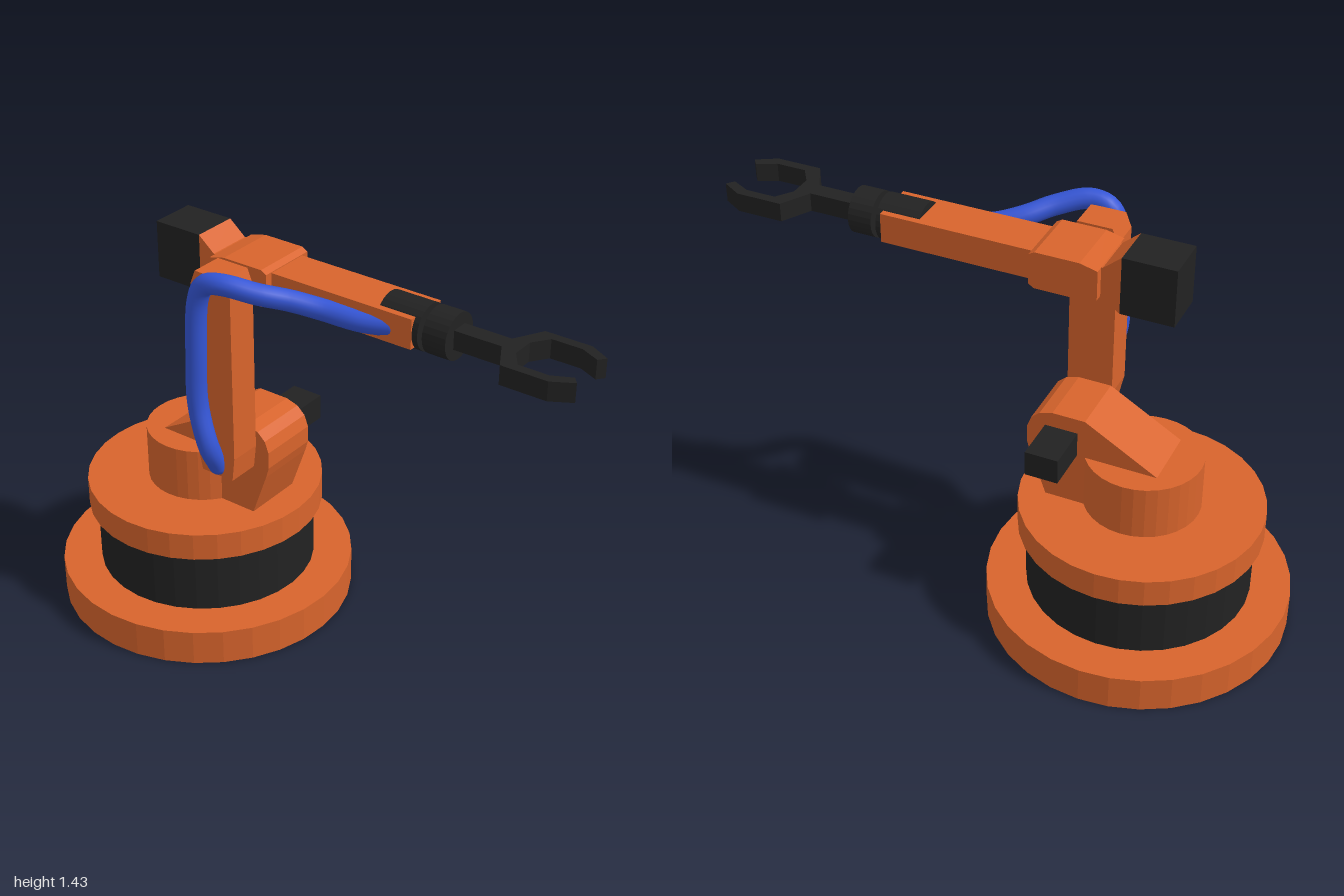
import * as THREE from 'three';

export function createModel() {
  const model = new THREE.Group();
  const orange = new THREE.MeshStandardMaterial({ color: 0xd8642c });
  orange.name = 'orange paint';
  const black = new THREE.MeshStandardMaterial({ color: 0x222222 });
  black.name = 'black plastic';
  const blue = new THREE.MeshStandardMaterial({ color: 0x3556d6 });
  blue.name = 'blue hose';

  function add(name, geometry, material, x = 0, y = 0, z = 0) {
    const mesh = new THREE.Mesh(geometry, material);
    mesh.name = name;
    mesh.position.set(x, y, z);
    model.add(mesh);
    return mesh;
  }
  // Faceted normals
  function flat(geometry) {
    const g = geometry.index ? geometry.toNonIndexed() : geometry;
    g.computeVertexNormals();
    return g;
  }
  // Box from its limits
  function box(name, material, x0, x1, y0, y1, z0, z1) {
    add(name, new THREE.BoxGeometry(x1 - x0, y1 - y0, z1 - z0), material,
      (x0 + x1) / 2, (y0 + y1) / 2, (z0 + z1) / 2);
  }
  // Outline in x and y, extruded from z0 to z1
  function plate(points, z0, z1) {
    const shape = new THREE.Shape(points.map(([x, y]) => new THREE.Vector2(x, y)));
    const g = new THREE.ExtrudeGeometry(shape, { depth: z1 - z0, bevelEnabled: false });
    return g.translate(0, 0, z0);
  }
  // Upright drum of the turntable
  function drum(name, material, radius, y0, y1) {
    add(name, flat(new THREE.CylinderGeometry(radius, radius, y1 - y0, 32)), material,
      -0.475, (y0 + y1) / 2, 0);
  }
  // Cylinder lying along x on the forearm axis
  function wristRing(name, radius, x0, x1) {
    const g = new THREE.CylinderGeometry(radius, radius, x1 - x0, 24).rotateZ(Math.PI / 2);
    add(name, flat(g), black, (x0 + x1) / 2, 1.323, 0);
  }

  // Turntable
  drum('basePlate', orange, 0.525, 0, 0.13);
  drum('baseDrum', black, 0.387, 0.13, 0.36);
  drum('turntable', orange, 0.417, 0.36, 0.46);
  drum('hub', orange, 0.2, 0.46, 0.655);

  // Shoulder with rounded nose, and its motor
  add('shoulder', plate([
    [-0.56, 0.655], [-0.56, 0.45], [-0.173, 0.45], [-0.112, 0.62], [-0.1, 0.66],
    [-0.1, 0.72], [-0.115, 0.76], [-0.145, 0.787], [-0.19, 0.8], [-0.305, 0.8],
  ], -0.11, 0.11), orange);
  box('shoulderMotor', black, -0.28, -0.165, 0.655, 0.745, -0.27, -0.105);

  // Upper arm beside the shoulder, held by two pins
  add('upperArm', plate([
    [-0.282, 0.655], [-0.155, 0.655], [-0.145, 0.74], [-0.145, 1.34],
    [-0.165, 1.39], [-0.285, 1.39], [-0.305, 1.34], [-0.305, 0.76],
  ], 0.12, 0.235), orange);
  for (const [name, y] of [['shoulderPin', 0.71], ['elbowPin', 1.323]]) {
    const pin = new THREE.CylinderGeometry(0.045, 0.045, 0.06, 16).rotateX(Math.PI / 2);
    add(name, flat(pin), orange, -0.225, y, 0.115);
  }

  // Forearm with flared rear end, elbow block and rear motor
  add('forearm', plate([
    [-0.395, 1.225], [-0.335, 1.272], [0.43, 1.272], [0.43, 1.375],
    [-0.335, 1.375], [-0.395, 1.425],
  ], -0.08, 0.08), orange);
  add('elbowBlock', plate([
    [-0.33, 1.272], [-0.27, 1.26], [-0.12, 1.26], [-0.1, 1.272],
    [-0.1, 1.378], [-0.12, 1.39], [-0.27, 1.39], [-0.33, 1.375],
  ], -0.108, 0.108), orange);
  box('forearmMotor', black, -0.575, -0.395, 1.225, 1.425, -0.08, 0.08);

  // Wrist
  wristRing('wristHousing', 0.078, 0.3, 0.45);
  wristRing('wristJoint', 0.04, 0.44, 0.475);
  wristRing('wristFlange', 0.078, 0.467, 0.55);
  box('gripperShaft', black, 0.54, 0.73, 1.29, 1.355, -0.03, 0.03);

  // Two-fingered gripper, mirrored about the forearm axis
  const finger = [
    [0.715, 0.03], [0.77, 0.13], [0.93, 0.13], [1, 0.09],
    [0.98, 0.065], [0.915, 0.097], [0.81, 0.097], [0.77, 0.04],
  ];
  const mirrored = finger.map(([x, z]) => [x, -z]).reverse();
  const claw = plate([...finger, ...mirrored], 1.29, 1.355).rotateX(-Math.PI / 2);
  add('gripper', claw, black);

  // Hose from the foot of the upper arm to the wrist
  const path = new THREE.CatmullRomCurve3([
    [-0.222, 0.69, 0.225], [-0.225, 0.78, 0.268], [-0.262, 0.93, 0.27],
    [-0.262, 1.1, 0.27], [-0.245, 1.32, 0.27], [-0.215, 1.375, 0.27],
    [-0.15, 1.392, 0.264], [-0.05, 1.37, 0.215], [0.03, 1.345, 0.15],
    [0.12, 1.322, 0.103], [0.24, 1.312, 0.08], [0.34, 1.314, 0.05],
  ].map((p) => new THREE.Vector3(...p)));
  add('hose', new THREE.TubeGeometry(path, 80, 0.035, 14), blue);
  for (const [name, t] of [['hoseLowerEnd', 0], ['hoseUpperEnd', 1]]) {
    const p = path.getPoint(t);
    add(name, new THREE.SphereGeometry(0.035, 14, 10), blue, p.x, p.y, p.z);
  }

  return model;
}
